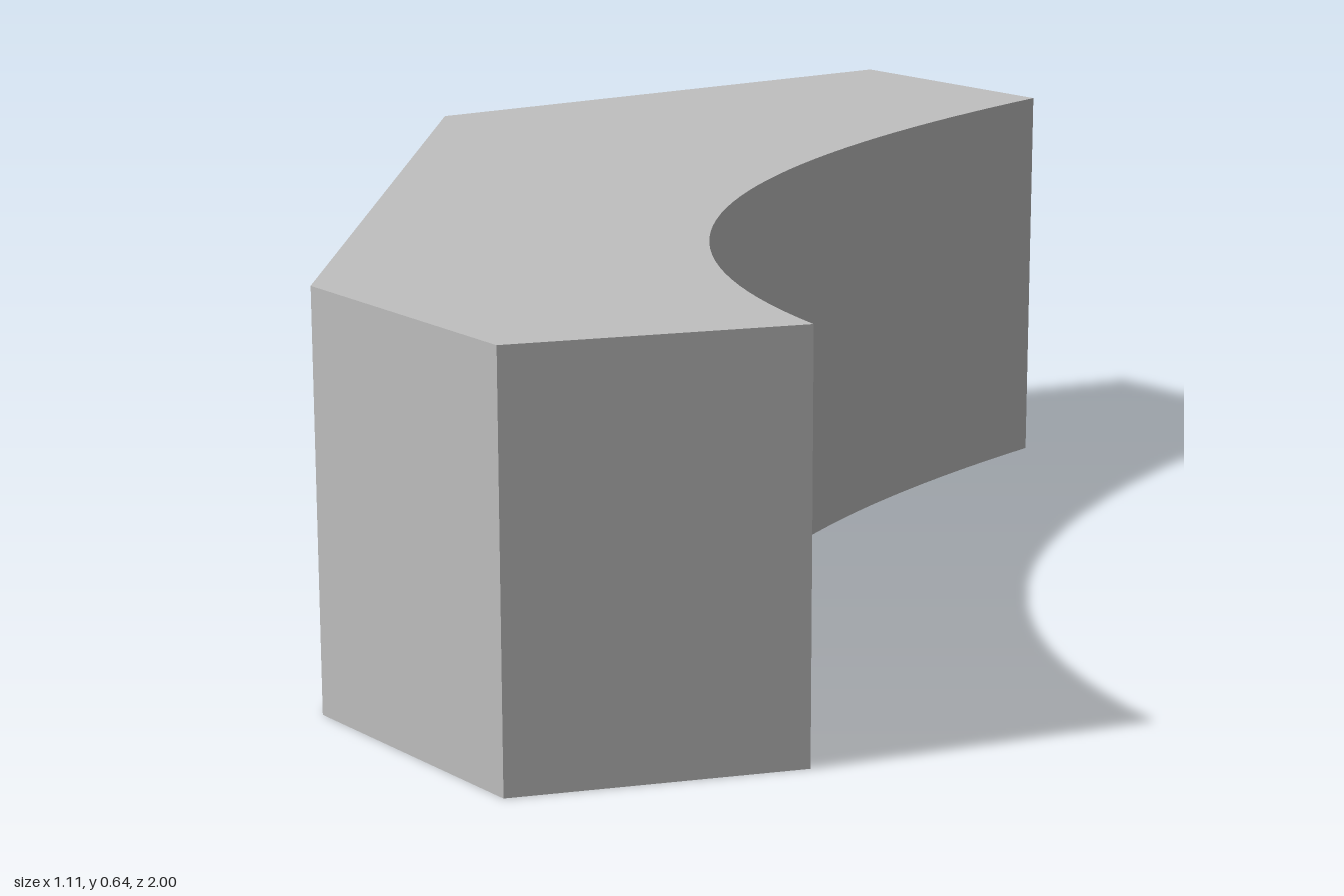
import * as THREE from 'three';

export function createModel() {
  const group = new THREE.Group();
  const grey = new THREE.MeshStandardMaterial({ color: 0xc0c0c0 });
  grey.name = 'light grey';

  // Footprint drawn as (x, -z): five straight sides and one concave curved side
  const outline = new THREE.Shape();
  outline.moveTo(0.15, -0.88);
  outline.quadraticCurveTo(-0.287, -0.172, 0.55, 0.73);
  outline.lineTo(0.27, 1);
  outline.lineTo(-0.47, 0.55);
  outline.lineTo(-0.555, -0.675);
  outline.lineTo(-0.27, -1);
  outline.closePath();

  // Raise the footprint into a solid block standing on the ground
  const geometry = new THREE.ExtrudeGeometry(outline, {
    depth: 0.64, bevelEnabled: false, curveSegments: 40,
  });
  geometry.rotateX(-Math.PI / 2);

  const block = new THREE.Mesh(geometry, grey);
  block.name = 'curvedBlock';
  group.add(block);
  return group;
}
